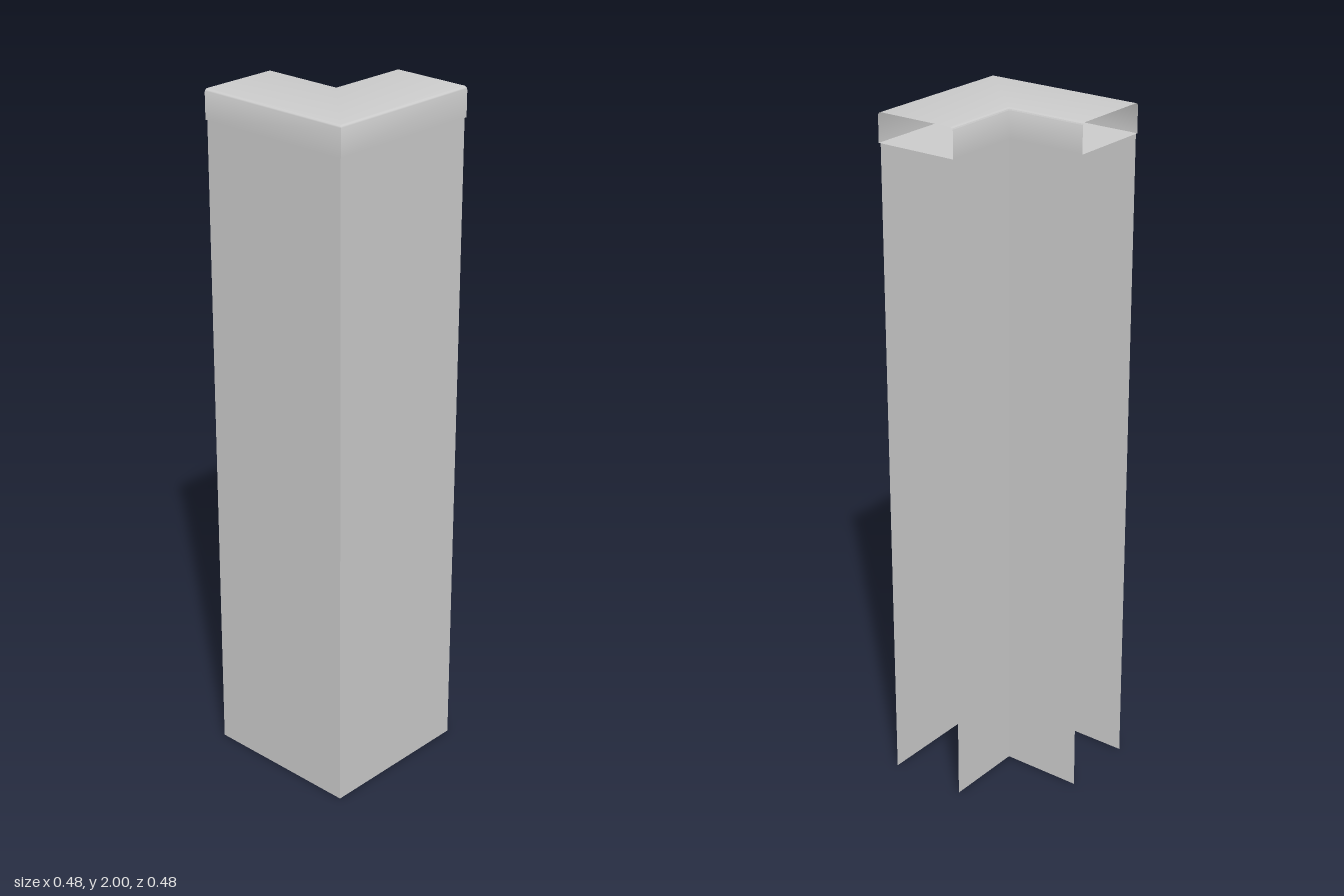
import * as THREE from 'three';
import { toCreasedNormals } from 'three/addons/utils/BufferGeometryUtils.js';

const END = 0.2415;   // where both arms stop, left open
const TOP = 2, CAP_BOTTOM = 1.917;

// Sweeps a section of [distance, height] points round the mitred corner,
// along the front arm and then along the side arm.
function sweepCorner(name, section, closed) {
  const stations = [
    ([d, y]) => [-END, y, d],
    ([d, y]) => [d, y, d],
    ([d, y]) => [d, y, -END],
  ];
  const positions = stations.flatMap((place) => section.flatMap(place));
  const n = section.length;
  const index = [];
  for (let k = 0; k < stations.length - 1; k++) {
    for (let j = 0; j < (closed ? n : n - 1); j++) {
      const next = (j + 1) % n;
      const a = k * n + j, b = a + n, c = (k + 1) * n + next, e = k * n + next;
      index.push(a, b, c, a, c, e);
    }
  }
  const geometry = new THREE.BufferGeometry();
  geometry.setAttribute('position', new THREE.Float32BufferAttribute(positions, 3));
  geometry.setIndex(index);
  const material = new THREE.MeshStandardMaterial({ color: 0xcccccc, side: THREE.DoubleSide });
  const mesh = new THREE.Mesh(toCreasedNormals(geometry, 0.6), material);
  mesh.name = name;
  return mesh;
}

// Coping section: upright sides, softened top edges and a flat underside
function capSection(inner, outer, radius, steps) {
  const points = [[outer, CAP_BOTTOM]];
  const round = (d, from) => {
    for (let i = 0; i <= steps; i++) {
      const t = from + (i / steps) * Math.PI / 2;
      points.push([d + radius * Math.cos(t), TOP - radius + radius * Math.sin(t)]);
    }
  };
  round(outer - radius, 0);
  round(inner + radius, Math.PI / 2);
  points.push([inner, CAP_BOTTOM]);
  return points;
}

export function createModel() {
  const group = new THREE.Group();
  group.name = 'cornerWall';

  // Thin wall faces, set slightly back under the coping
  group.add(sweepCorner('outerWall', [[0.235, 0], [0.235, CAP_BOTTOM]], false));
  group.add(sweepCorner('innerWall', [[0, CAP_BOTTOM], [0, 0]], false));

  // Hollow coping with open ends
  group.add(sweepCorner('coping', capSection(-0.007, END, 0.01, 4), true));
  return group;
}
